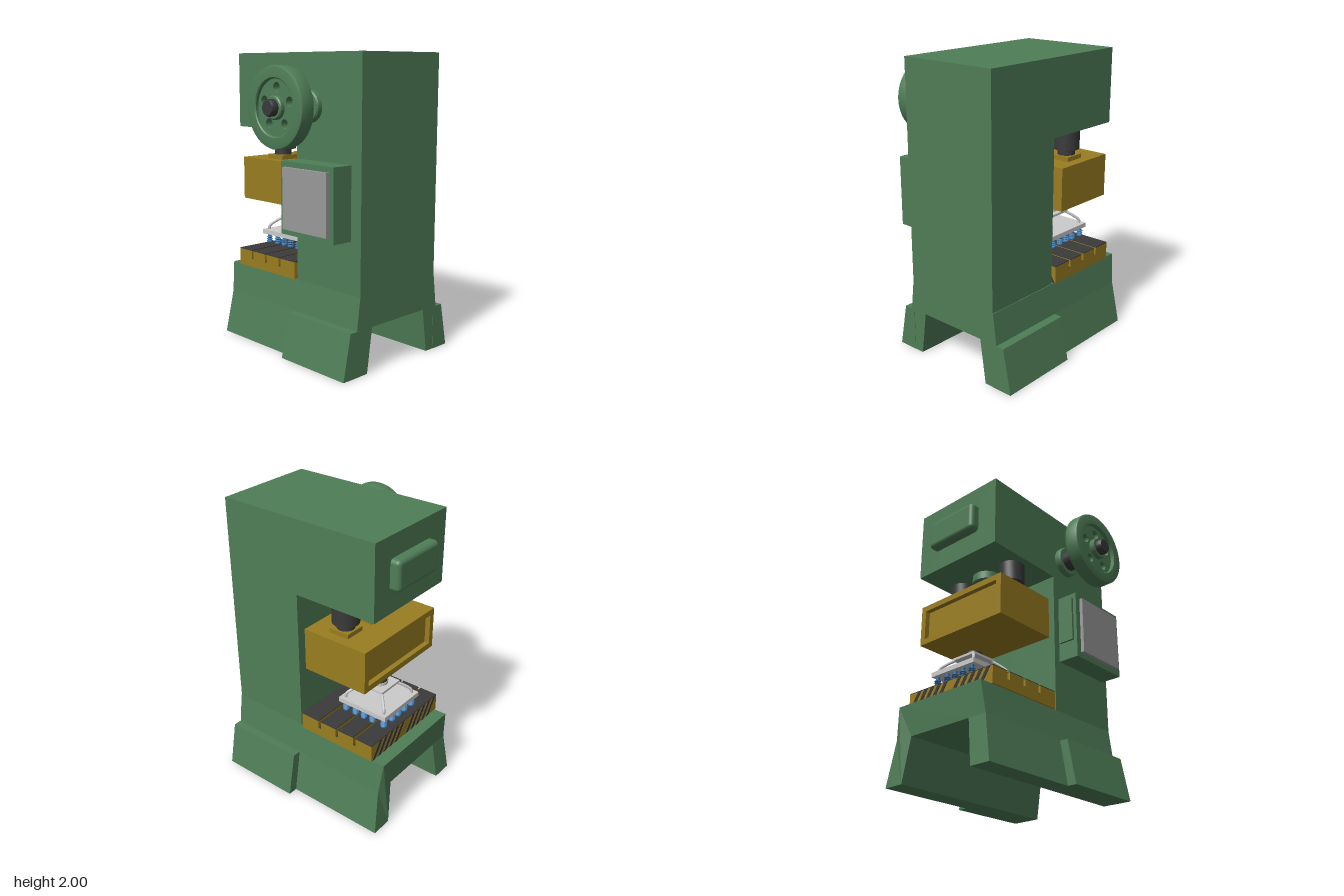
import * as THREE from 'three';
import { toCreasedNormals } from 'three/addons/utils/BufferGeometryUtils.js';
import { RoundedBoxGeometry } from 'three/addons/geometries/RoundedBoxGeometry.js';

const mat = (color) => new THREE.MeshStandardMaterial({ color });
const green = mat(0x4f7d57), gold = mat(0x9a7d20), dark = mat(0x3a3a3a);
const grey = mat(0xcccccc), panel = mat(0x9a9a9a), blue = mat(0x3a7ab5);
const ZC = -0.105; // middle of the frame, front to back

const shapeOf = (pts) => new THREE.Shape(pts.map(([a, b]) => new THREE.Vector2(a, b)));

// Extrude an (x, y) outline from z0 to z1
function extrudeZ(shape, z0, z1) {
  return new THREE.ExtrudeGeometry(shape, { depth: z1 - z0, bevelEnabled: false, curveSegments: 20 }).translate(0, 0, z0);
}
// Extrude a (z, y) outline from x0 to x1
function extrudeX(shape, x0, x1) {
  return new THREE.ExtrudeGeometry(shape, { depth: x1 - x0, bevelEnabled: false }).rotateY(-Math.PI / 2).translate(x1, 0, 0);
}
// Box given by its limits on each axis
function span(x0, x1, y0, y1, z0, z1) {
  return new THREE.BoxGeometry(x1 - x0, y1 - y0, z1 - z0).translate((x0 + x1) / 2, (y0 + y1) / 2, (z0 + z1) / 2);
}
// Turned part about y from [radius, height] points, with sharp edges kept
function turned(pts, segments = 40) {
  return toCreasedNormals(new THREE.LatheGeometry(pts.map(([r, h]) => new THREE.Vector2(r, h)), segments), 0.6);
}

export function createModel() {
  const model = new THREE.Group();
  const add = (name, geometry, material, parent = model) => {
    const mesh = new THREE.Mesh(geometry, material);
    mesh.name = name;
    parent.add(mesh);
    return mesh;
  };
  const group = (name) => {
    const g = new THREE.Group();
    g.name = name;
    model.add(g);
    return g;
  };

  // C-shaped frame: column and overhanging head
  add('frame', extrudeZ(shapeOf([[0.06, 0.51], [0.635, 0.51], [0.635, 2], [-0.535, 2], [-0.535, 1.5], [0.06, 1.5]]), -0.46, 0.255), green);

  // Flared base with an arch running through it, its free end pinched at mid height
  const half = [[0.36, 0.51], [0.387, 0.3], [0.44, 0], [0.293, 0], [0.25, 0.3]];
  const outline = [...half.map(([z, y]) => [ZC + z, y]), ...half.slice().reverse().map(([z, y]) => [ZC - z, y])];
  const base = extrudeX(shapeOf(outline), -0.635, 0.635);
  const p = base.attributes.position;
  for (let i = 0; i < p.count; i++) {
    if (p.getX(i) < -0.6 && Math.abs(p.getY(i) - 0.3) < 0.01) p.setX(i, -0.615);
  }
  base.computeVertexNormals();
  add('base', base, green);

  // Sloped feet on both sides of the column
  for (const s of [1, -1]) {
    const foot = [[0.36, 0.3], [0.445, 0.3], [0.505, 0], [0.36, 0]].map(([z, y]) => [ZC + s * z, y]);
    add('foot', extrudeX(shapeOf(foot), 0.06, 0.637), green);
  }

  // Rounded cover on the end of the head
  add('headCover', new RoundedBoxGeometry(0.1, 0.205, 0.415, 4, 0.03).translate(-0.55, 1.753, -0.107), green);

  // Ram with a recessed end face
  const ram = group('ram');
  add('ramBlock', span(-0.45, -0.01, 1, 1.29, -0.475, 0.265), gold, ram);
  const frame = shapeOf([[-0.475, 1], [0.265, 1], [0.265, 1.29], [-0.475, 1.29]]);
  frame.holes.push(new THREE.Path([[-0.435, 1.04], [-0.435, 1.25], [0.225, 1.25], [0.225, 1.04]].map(([a, b]) => new THREE.Vector2(a, b))));
  add('ramFrame', extrudeX(frame, -0.485, -0.45), gold, ram);

  // Twin screws carrying the ram, and the guide boss between them
  for (const z of [ZC - 0.23, ZC + 0.23]) {
    add('screwPlate', span(-0.3, -0.155, 1.29, 1.32, z - 0.072, z + 0.072), gold, ram);
    add('screw', turned([[0, 1.31], [0.058, 1.31], [0.058, 1.36], [0.088, 1.36], [0.088, 1.51]]).translate(-0.228, 0, z), dark, ram);
  }
  add('centrePlate', span(-0.3, -0.155, 1.29, 1.32, ZC - 0.07, ZC + 0.07), gold, ram);
  add('guideBoss', new THREE.CylinderGeometry(0.1, 0.1, 0.06, 32).translate(-0.23, 1.475, ZC), green, ram);

  // Work table with slots, dark top strips and hazard stripes
  const table = group('table');
  const slots = [-0.405, -0.26, -0.115], w = 0.01;
  const top = [[-0.545, 0.51], [0.037, 0.51], [0.037, 0.626]];
  for (const x of slots.slice().reverse()) top.push([x + w, 0.626], [x + w, 0.57], [x - w, 0.57], [x - w, 0.626]);
  top.push([-0.545, 0.626]);
  add('tableBlock', extrudeZ(shapeOf(top), -0.475, 0.265), gold, table);
  const edges = [-0.545, ...slots.flatMap((x) => [x - w, x + w]), 0.037];
  for (let i = 0; i < edges.length; i += 2) {
    add('tableTop', span(edges[i], edges[i + 1], 0.626, 0.631, -0.475, 0.265), dark, table);
  }
  for (const x of slots) add('slotFloor', span(x - w, x + w, 0.565, 0.573, -0.474, 0.264), dark, table);
  for (const [x0, x1] of [[-0.548, -0.545], [0.037, 0.04]]) {
    for (let i = 0; i < 11; i++) {
      if (i === 5) continue;
      const z = -0.47 + i * 0.061;
      add('hazardStripe', extrudeX(shapeOf([[z, 0.511], [z + 0.03, 0.511], [z + 0.105, 0.626], [z + 0.075, 0.626]]), x0, x1), dark, table);
    }
  }

  // Gripper: plate, splayed arms and mounting flange
  const gripper = group('gripper');
  gripper.position.set(-0.33, 0, ZC - 0.01);
  add('gripperPlate', span(-0.19, 0.19, 0.71, 0.742, -0.19, 0.19), grey, gripper);
  add('upperPlate', span(-0.097, 0.097, 0.83, 0.846, -0.097, 0.097), grey, gripper);
  add('flange', new THREE.CylinderGeometry(0.06, 0.06, 0.022, 28).translate(0, 0.856, 0), grey, gripper);
  add('coupling', new THREE.CylinderGeometry(0.056, 0.056, 0.02, 28).translate(0, 0.876, 0), dark, gripper);
  for (const sx of [1, -1]) for (const sz of [1, -1]) {
    const arm = new THREE.CatmullRomCurve3([[0.155, 0.735], [0.155, 0.765], [0.125, 0.8], [0.085, 0.832]]
      .map(([d, y]) => new THREE.Vector3(sx * d, y, sz * d)));
    add('arm', new THREE.TubeGeometry(arm, 12, 0.01, 8), grey, gripper);
  }

  // Bellows suction cups around the edge of the plate
  const cup = turned([[0, 0.648], [0.021, 0.648], [0.021, 0.656], [0.012, 0.662], [0.023, 0.669], [0.012, 0.676],
    [0.022, 0.683], [0.012, 0.69], [0.014, 0.712]], 16);
  const steps = [-0.16, -0.07, 0, 0.07, 0.15];
  for (const x of steps) for (const z of steps) {
    if (Math.abs(x) < 0.1 && Math.abs(z) < 0.1) continue;
    add('suctionCup', cup, blue, gripper).position.set(x, 0, z);
  }

  // Flywheel on its shaft
  const wheel = group('flywheel');
  wheel.position.set(0.19, 1.665, 0);
  const turnedZ = (pts) => turned(pts, 64).rotateX(Math.PI / 2);
  add('collar', turnedZ([[0, 0.25], [0.105, 0.25], [0.105, 0.285], [0.097, 0.295], [0, 0.295]]), green, wheel);
  add('shaft', turnedZ([[0, 0.29], [0.07, 0.29], [0.07, 0.365], [0.05, 0.37], [0.05, 0.56], [0.053, 0.565],
    [0.053, 0.6], [0.046, 0.612], [0, 0.612]]), dark, wheel);
  add('rim', turnedZ([[0.176, 0.46], [0.243, 0.46], [0.251, 0.463], [0.255, 0.472], [0.255, 0.548], [0.251, 0.557],
    [0.243, 0.56], [0.182, 0.56], [0.176, 0.554], [0.176, 0.46]]), green, wheel);
  const web = new THREE.Shape().absarc(0, 0, 0.18, 0, Math.PI * 2);
  for (let i = 0; i < 5; i++) {
    const a = Math.PI / 2 + i * Math.PI * 0.4;
    web.holes.push(new THREE.Path().absarc(0.122 * Math.cos(a), 0.122 * Math.sin(a), 0.031, 0, Math.PI * 2, true));
  }
  add('web', toCreasedNormals(extrudeZ(web, 0.485, 0.535), 0.6), green, wheel);
  add('hub', turnedZ([[0, 0.455], [0.073, 0.455], [0.073, 0.56], [0.066, 0.567], [0, 0.567]]), green, wheel);

  // Control cabinet with its door panel and side hinge plate
  const cabinet = group('controlCabinet');
  add('cabinetBody', span(0.09, 0.565, 0.855, 1.325, 0.27, 0.42), green, cabinet);
  add('cabinetDoor', span(0.13, 0.527, 0.893, 1.29, 0.41, 0.444), panel, cabinet);
  add('hingePlate', span(0.074, 0.095, 0.98, 1.29, 0.285, 0.395), green, cabinet);

  return model;
}
